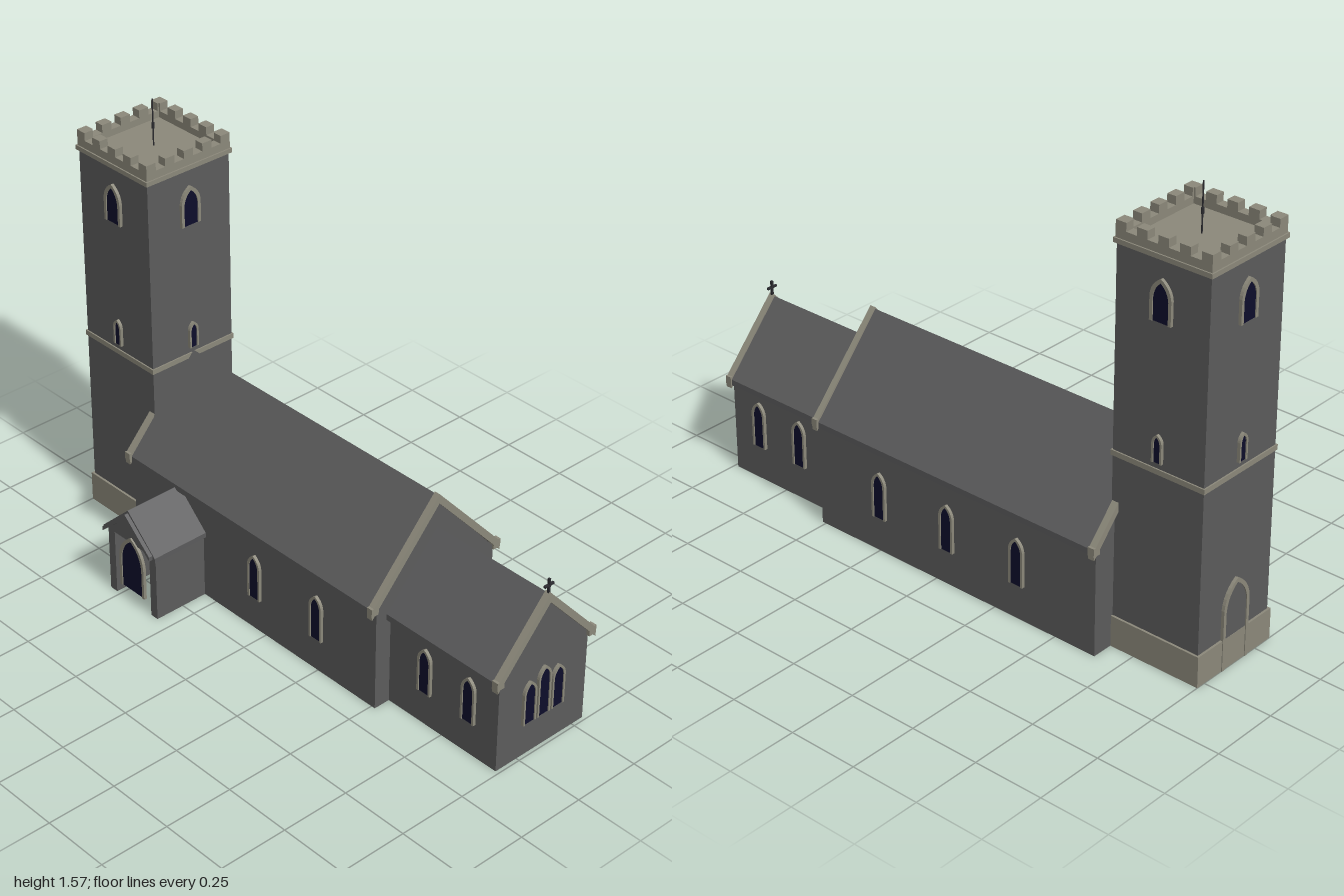
import * as THREE from 'three';

const mat = (name, color) => {
  const m = new THREE.MeshStandardMaterial({ color });
  m.name = name;
  return m;
};

export function createModel() {
  const root = new THREE.Group();
  root.name = 'church';
  const wall = mat('dark wall', 0x5c5c5c);
  const roof = mat('slate roof', 0x5b5b5c);
  const stone = mat('pale stone', 0x8c897b);
  const glass = mat('dark glass', 0x0d0d2b);
  const iron = mat('iron', 0x2c2c30);

  const AXIS = -0.104; // z of the ridge line
  const TX = -0.82; // tower centre x

  const add = (name, geo, material, x = 0, y = 0, z = 0, ry = 0, parent = root) => {
    const m = new THREE.Mesh(geo, material);
    m.name = name;
    m.position.set(x, y, z);
    m.rotation.y = ry;
    parent.add(m);
    return m;
  };
  const box = (name, material, w, h, d, x, y, z, parent = root) =>
    add(name, new THREE.BoxGeometry(w, h, d), material, x, y + h / 2, z, 0, parent);
  const extrude = (shape, depth) =>
    new THREE.ExtrudeGeometry(shape, { depth, bevelEnabled: false, curveSegments: 6 });
  const poly = (pts) => new THREE.Shape(pts.map(([x, y]) => new THREE.Vector2(x, y)));

  // House-shaped and roof-shaped cross-sections
  const house = (half, base, eave, apex) =>
    poly([[-half, base], [half, base], [half, eave], [0, apex], [-half, eave]]);
  const chevron = (half, eave, apex, t) =>
    poly([[-half, eave - t], [0, apex - t], [half, eave - t], [half, eave], [0, apex], [-half, eave]]);
  const alongX = (name, shape, material, x0, x1) =>
    add(name, extrude(shape, x1 - x0), material, x0, 0, AXIS, Math.PI / 2);

  // Pointed opening: a pane with a stone surround on the sides and arch
  const archPoints = (b, h, rise) => {
    const p = new THREE.Path();
    p.moveTo(-b, 0);
    p.lineTo(-b, h - rise);
    p.quadraticCurveTo(-b * 0.9, h - rise * 0.35, 0, h);
    p.quadraticCurveTo(b * 0.9, h - rise * 0.35, b, h - rise);
    p.lineTo(b, 0);
    return p.getPoints(6);
  };
  const opening = (name, w, h, t, x, y, z, ry, pane = glass) => {
    const g = new THREE.Group();
    g.name = name;
    g.position.set(x, y, z);
    g.rotation.y = ry;
    root.add(g);
    const rise = w * 0.75;
    const outer = archPoints(w / 2, h, rise);
    const inner = archPoints(w / 2 - t, h - t * 1.3, rise - t * 0.6);
    add(name + 'Pane', extrude(new THREE.Shape(inner), 0.007), pane, 0, 0, 0, 0, g);
    add(name + 'Surround', extrude(new THREE.Shape([...outer, ...inner.reverse()]), 0.011), stone, 0, 0, 0, 0, g);
  };

  // Tower
  const H = 0.172;
  box('towerPlinth', stone, 0.36, 0.11, 0.36, TX, 0, AXIS);
  box('towerShaft', wall, H * 2, 1.29, H * 2, TX, 0.1, AXIS);
  box('stringCourse', stone, 0.354, 0.018, 0.354, TX, 0.675, AXIS);
  box('cornice', stone, 0.36, 0.016, 0.36, TX, 1.378, AXIS);
  box('towerRoof', stone, 0.32, 0.01, 0.32, TX, 1.388, AXIS);

  // Parapet with five merlons on each side
  const unit = 0.35 / 9;
  for (let side = 0; side < 4; side++) {
    const g = new THREE.Group();
    g.name = 'parapetSide';
    g.position.set(TX, 0, AXIS);
    g.rotation.y = (side * Math.PI) / 2;
    root.add(g);
    box('parapetWall', stone, 0.35, 0.032, 0.033, 0, 1.39, 0.1585, g);
    for (let i = -2; i <= 2; i++) {
      box('merlon', stone, unit, 0.03, 0.033, i * unit * 2, 1.42, 0.1585, g);
    }
  }
  add('mast', new THREE.CylinderGeometry(0.0025, 0.0025, 0.167, 6), iron, TX, 1.4815, AXIS);
  add('mastCollar', new THREE.CylinderGeometry(0.005, 0.005, 0.02, 8), iron, TX, 1.47, AXIS);

  // Tower windows on all four faces
  for (let side = 0; side < 4; side++) {
    const a = (side * Math.PI) / 2;
    const x = TX + Math.sin(a) * H;
    const z = AXIS + Math.cos(a) * H;
    opening('belfryWindow', 0.08, 0.142, 0.011, x, 1.178, z, a);
    opening('slitWindow', 0.038, 0.096, 0.007, x, 0.715, z, a);
  }
  opening('westDoor', 0.125, 0.31, 0.012, TX - H, 0, AXIS, -Math.PI / 2, wall);

  // Nave and chancel
  const wing = (name, x0, x1, half, eave, apex) =>
    alongX(name + 'Walls', house(half, 0, eave, apex), wall, x0, x1);
  wing('nave', -0.66, 0.515, 0.257, 0.385, 0.682);
  wing('chancel', 0.51, 0.987, 0.195, 0.35, 0.567);
  alongX('naveRoof', chevron(0.275, 0.392, 0.7, 0.022), roof, -0.655, 0.51);
  alongX('chancelRoof', chevron(0.213, 0.35, 0.584, 0.022), roof, 0.515, 0.98);

  // Gable copings and kneelers
  const coping = (name, x0, x1, half, eave, apex) => {
    alongX(name, chevron(half, eave, apex, 0.034), stone, x0, x1);
    for (const s of [-1, 1]) {
      box('kneeler', stone, x1 - x0, 0.03, 0.03, (x0 + x1) / 2, eave - 0.022, AXIS + s * (half - 0.013));
    }
  };
  coping('naveWestCoping', -0.674, -0.65, 0.282, 0.396, 0.706);
  coping('naveEastCoping', 0.5, 0.522, 0.282, 0.396, 0.706);
  coping('chancelCoping', 0.976, 1.0, 0.216, 0.352, 0.59);

  // Gable cross
  box('crossUpright', iron, 0.008, 0.055, 0.007, 0.988, 0.583, AXIS);
  box('crossArm', iron, 0.008, 0.007, 0.04, 0.988, 0.611, AXIS);

  // Side windows
  const pairs = [[-0.345, 0.257, false], [-0.05, 0.257, true], [0.245, 0.257, true],
    [0.675, 0.195, true], [0.865, 0.195, true]];
  for (const [x, half, both] of pairs) {
    opening('sideWindow', 0.058, 0.17, 0.008, x, 0.127, AXIS - half, Math.PI);
    if (both) opening('sideWindow', 0.058, 0.17, 0.008, x, 0.127, AXIS + half, 0);
  }
  // Triple east window
  for (const i of [-1, 0, 1]) {
    opening('eastWindow', 0.056, i ? 0.16 : 0.188, 0.007, 0.987, 0.125, AXIS + i * 0.063, Math.PI / 2);
  }

  // Porch: two side walls, gable, roof and doorway
  const PX = -0.428;
  for (const s of [-1, 1]) {
    box('porchWall', wall, 0.032, 0.25, 0.21, PX + s * 0.105, 0, 0.255);
  }
  add('porchGable', extrude(house(0.12, 0.243, 0.25, 0.362), 0.21), wall, PX, 0, 0.15);
  add('porchRoof', extrude(chevron(0.132, 0.256, 0.38, 0.018), 0.222), roof, PX, 0, 0.15);
  add('porchBargeboard', extrude(chevron(0.12, 0.262, 0.37, 0.016), 0.016), roof, PX, 0, 0.37);
  opening('porchDoor', 0.124, 0.215, 0.011, PX, 0.05, 0.355, 0);

  return root;
}
